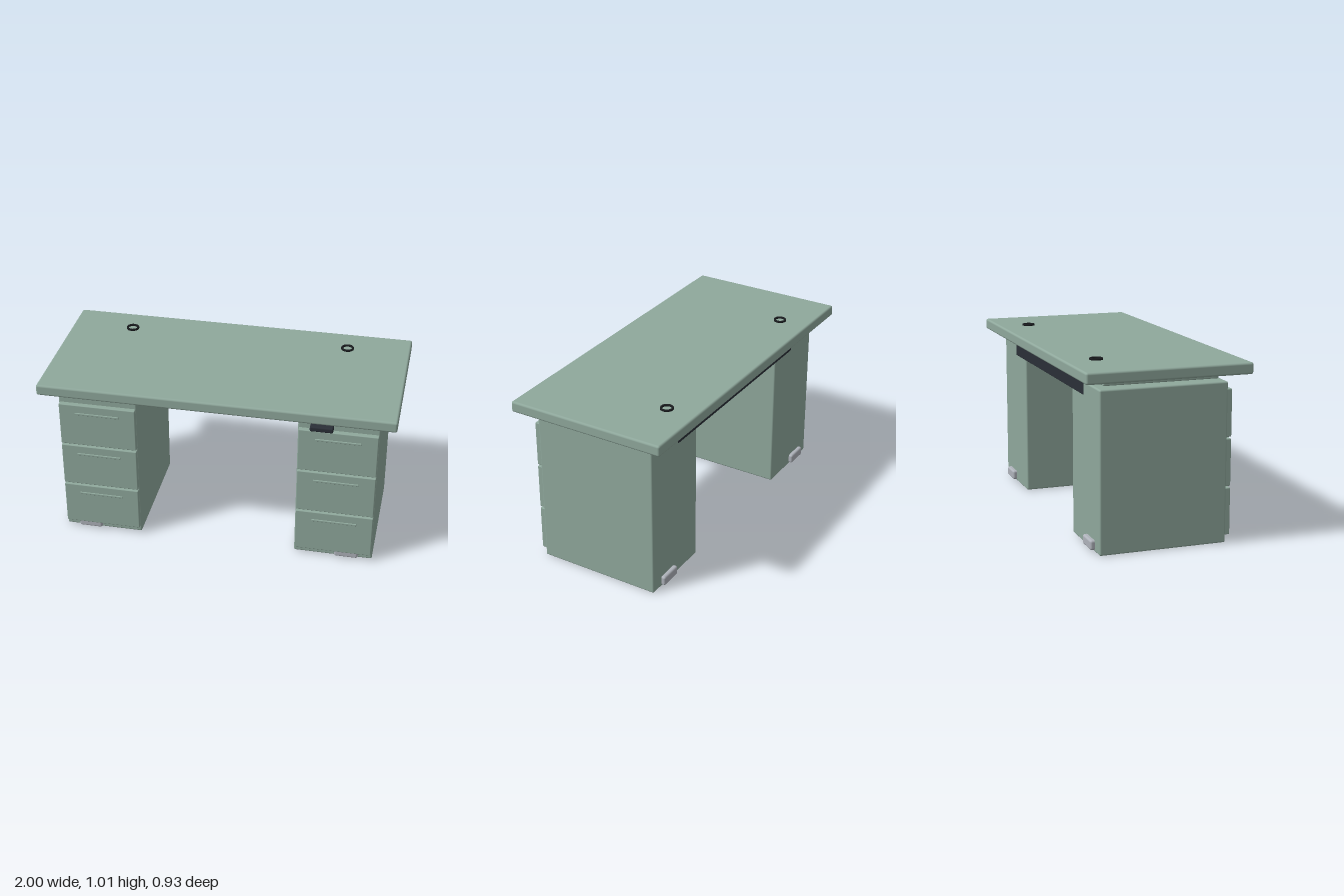
import * as THREE from 'three';
import { RoundedBoxGeometry } from 'three/addons/geometries/RoundedBoxGeometry.js';

const mat = (color) => new THREE.MeshStandardMaterial({ color });

export function createModel() {
  const desk = new THREE.Group();
  desk.name = 'desk';
  const green = mat(0x8fa89c), dark = mat(0x2a2f37), slate = mat(0x4a525c);
  const silver = mat(0xaeb2ba), black = mat(0x1a1c1f);

  // Rounded box given by its lower and upper bounds on each axis
  const block = (parent, name, [x0, x1], [y0, y1], [z0, z1], radius, material) => {
    const geometry = new RoundedBoxGeometry(x1 - x0, y1 - y0, z1 - z0, 3, radius);
    const mesh = new THREE.Mesh(geometry, material);
    mesh.position.set((x0 + x1) / 2, (y0 + y1) / 2, (z0 + z1) / 2);
    mesh.name = name;
    parent.add(mesh);
    return mesh;
  };

  block(desk, 'tabletop', [-1, 1], [0.941, 1.004], [-0.466, 0.461], 0.012, green);

  // Flat cable ring profile, chamfered at the top
  const ringProfile = [[0.026, 0], [0.037, 0], [0.037, 0.009], [0.035, 0.012], [0.028, 0.012], [0.026, 0.009], [0.026, 0]]
    .map(([r, y]) => new THREE.Vector2(r, y));
  const ringGeometry = new THREE.LatheGeometry(ringProfile, 40);

  for (const side of [-1, 1]) {
    const pedestal = new THREE.Group();
    pedestal.name = side > 0 ? 'leftPedestal' : 'rightPedestal';
    desk.add(pedestal);
    // Mirrored span on x
    const span = (a, b) => (side > 0 ? [a, b] : [-b, -a]);

    block(pedestal, 'cabinet', span(0.455, 0.908), [0.003, 0.893], [-0.363, 0.358], 0.01, green);

    // Three drawers with slim pulls
    for (let i = 0; i < 3; i++) {
      const y = 0.045 + i * 0.272;
      block(pedestal, 'drawerFront', span(0.461, 0.902), [y, y + 0.262], [0.35, 0.385], 0.005, green);
      block(pedestal, 'drawerHandle', span(0.555, 0.81), [y + 0.202, y + 0.214], [0.376, 0.391], 0.003, green);
    }

    // Foot bar showing at the front and back
    block(pedestal, 'foot', span(0.692, 0.828), [0.012, 0.067], [-0.387, 0.383], 0.012, silver);

    // Lifting column and the support plate above it
    const column = new THREE.Mesh(new THREE.CylinderGeometry(0.04, 0.047, 0.02, 32), slate);
    column.name = 'liftColumn';
    column.position.set(side * 0.765, 0.897, 0);
    pedestal.add(column);
    block(pedestal, 'supportPlate', span(0.658, 0.863), [0.903, 0.934], [-0.326, 0.323], 0.006, green);

    const ring = new THREE.Mesh(ringGeometry, black);
    ring.name = 'cableRing';
    ring.position.set(side * 0.64, 1.002, -0.289);
    desk.add(ring);
  }

  // Cable tray, cross bar and hand control
  block(desk, 'cableTray', [-0.65, 0.65], [0.82, 0.896], [-0.366, -0.25], 0.004, dark);
  block(desk, 'crossBar', [-0.46, 0.46], [0.725, 0.802], [-0.147, -0.09], 0.012, slate);
  block(desk, 'heightControl', [0.533, 0.66], [0.898, 0.928], [0.421, 0.466], 0.008, dark);

  return desk;
}
